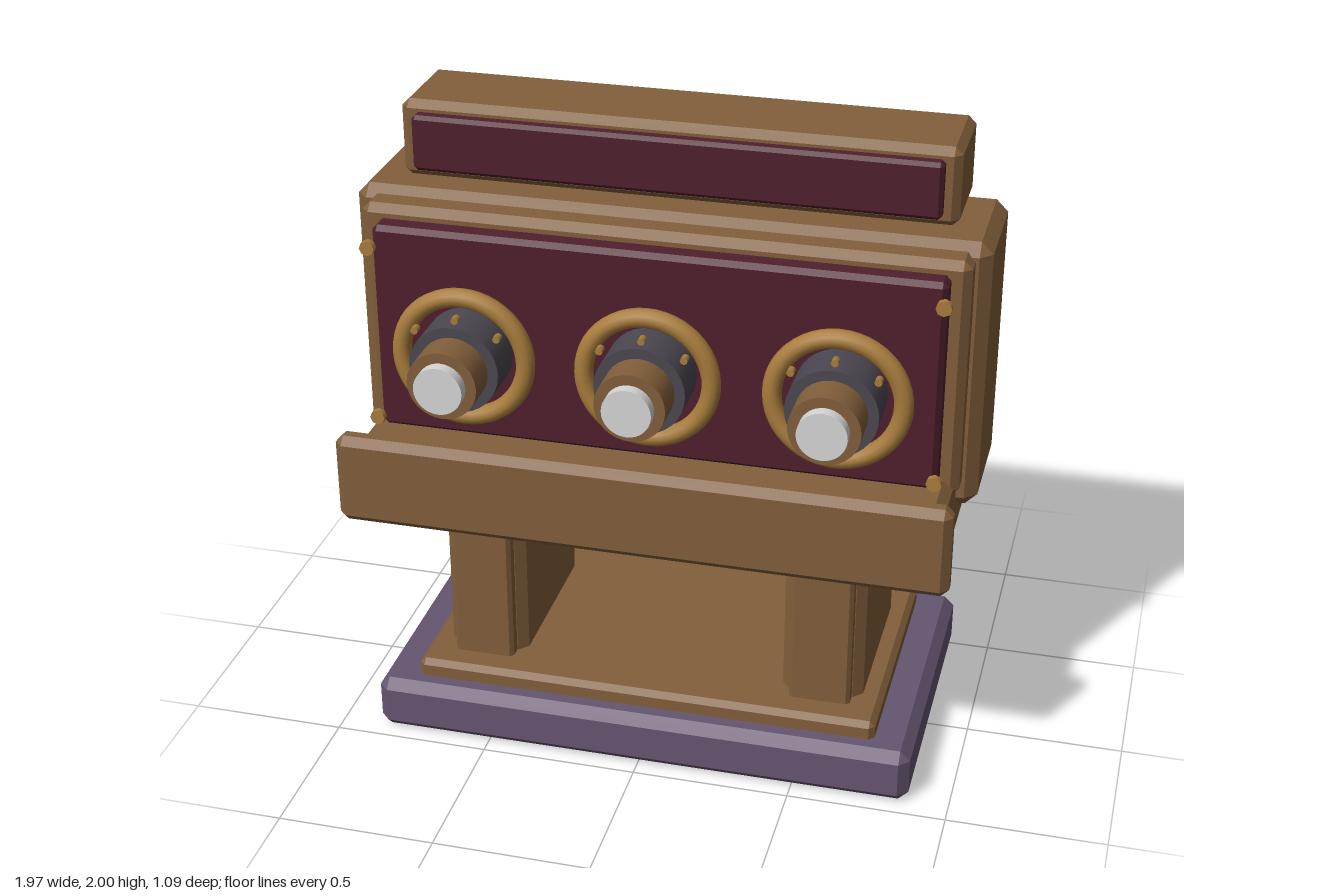
import * as THREE from 'three';
import { ConvexGeometry } from 'three/addons/geometries/ConvexGeometry.js';

const mat = (name, color) => {
  const m = new THREE.MeshStandardMaterial({ color });
  m.name = name;
  return m;
};

// Box given by its extents, with every edge chamfered by c
function chamferBox([x0, x1], [y0, y1], [z0, z1], c) {
  const half = [(x1 - x0) / 2, (y1 - y0) / 2, (z1 - z0) / 2];
  const pts = [];
  for (const sx of [-1, 1]) for (const sy of [-1, 1]) for (const sz of [-1, 1]) {
    for (let full = 0; full < 3; full++) {
      const h = half.map((v, i) => (i === full ? v : v - c));
      pts.push(new THREE.Vector3(sx * h[0], sy * h[1], sz * h[2]));
    }
  }
  return new ConvexGeometry(pts).translate((x0 + x1) / 2, (y0 + y1) / 2, (z0 + z1) / 2);
}

// Cylinder along z between two depths
function cylinderZ(radius, z0, z1, sides) {
  return new THREE.CylinderGeometry(radius, radius, z1 - z0, sides)
    .rotateX(Math.PI / 2).translate(0, 0, (z0 + z1) / 2);
}

export function createModel() {
  const wood = mat('wood', 0x825f3b);
  const purple = mat('purple stone', 0x665671);
  const maroon = mat('maroon panel', 0x4f1f2d);
  const brass = mat('brass', 0xa87c3c);
  const iron = mat('dark iron', 0x4b4751);
  const white = mat('white cap', 0xd6d6d6);

  const model = new THREE.Group();
  model.name = 'cabinet';
  const add = (name, geometry, material, parent = model) => {
    const mesh = new THREE.Mesh(geometry, material);
    mesh.name = name;
    parent.add(mesh);
    return mesh;
  };
  const block = (name, w, y, z, c, material) =>
    add(name, chamferBox([-w, w], y, z, c), material);

  // Base and plinth
  block('base', 0.872, [0, 0.18], [-0.54, 0.46], 0.032, purple);
  block('plinth', 0.75, [0.15, 0.237], [-0.47, 0.39], 0.018, wood);

  // Legs, each with a narrower pilaster on the front
  for (const s of [-1, 1]) {
    const x = s * 0.555;
    add('leg', chamferBox([x - 0.13, x + 0.13], [0.2, 0.8], [-0.33, 0.255], 0.03), wood);
    add('legPilaster', chamferBox([x - 0.098, x + 0.098], [0.225, 0.79], [0.2, 0.3], 0.012), wood);
  }

  // Shelf with raised front lip
  block('shelf', 0.922, [0.757, 1.015], [-0.38, 0.41], 0.03, wood);
  block('shelfLip', 0.96, [0.77, 1.065], [0.387, 0.468], 0.025, wood);

  // Stepped cabinet body and front panel
  block('body', 0.985, [0.88, 1.755], [-0.31, 0.1], 0.037, wood);
  block('bodyFrame', 0.938, [0.955, 1.73], [0, 0.18], 0.025, wood);
  block('frontPanel', 0.88, [1.01, 1.69], [0.15, 0.247], 0.016, maroon);

  // Header box with inset plate
  block('header', 0.867, [1.75, 2], [-0.338, -0.02], 0.024, wood);
  block('headerPlate', 0.82, [1.787, 1.966], [-0.05, 0.02], 0.012, maroon);

  // Three round fittings
  for (const x of [-0.58, 0, 0.58]) {
    const dial = new THREE.Group();
    dial.name = 'dial';
    dial.position.set(x, 1.31, 0);
    model.add(dial);
    add('dialRing', new THREE.TorusGeometry(0.198, 0.03, 12, 48).translate(0, 0, 0.3), brass, dial);
    add('dialCollar', cylinderZ(0.141, 0.24, 0.397, 32), iron, dial);
    add('dialBarrel', cylinderZ(0.109, 0.39, 0.508, 32), wood, dial);
    add('dialCap', cylinderZ(0.076, 0.5, 0.545, 32), white, dial);
    // Small pins above the collar
    for (const [px, py] of [[-0.13, 0.105], [0, 0.152], [0.13, 0.105]]) {
      add('collarPin', cylinderZ(0.012, 0.345, 0.372, 8).translate(px, py, 0), brass, dial);
    }
  }

  // Corner studs in front of the panel
  for (const x of [-0.877, 0.877]) for (const y of [1.06, 1.635]) {
    add('cornerStud', cylinderZ(0.024, 0.275, 0.297, 8).translate(x, y, 0), brass);
  }
  return model;
}
